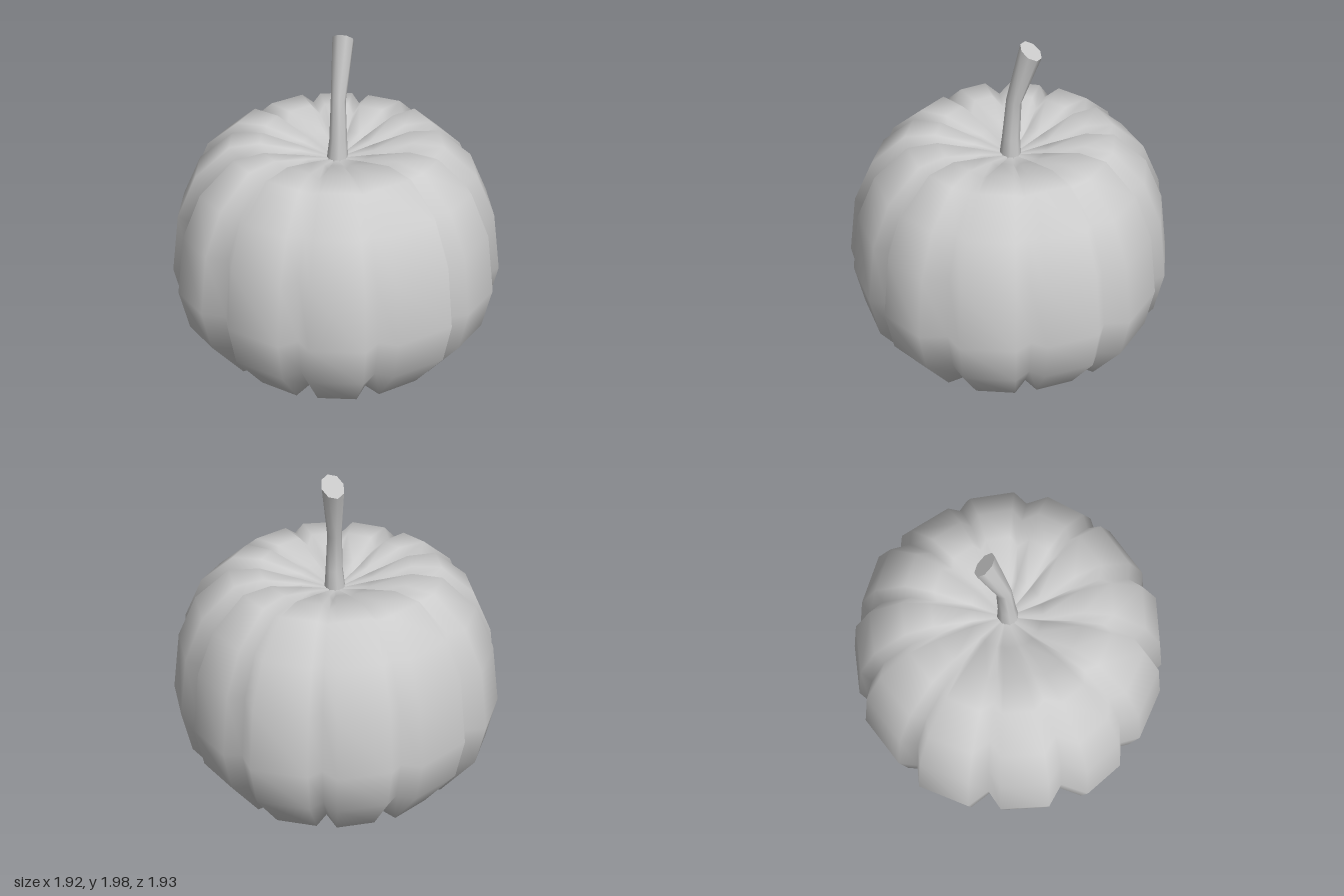
import * as THREE from 'three';
import { mergeVertices } from 'three/addons/utils/BufferGeometryUtils.js';

// Skin a stack of closed rings (listed bottom to top) with smooth normals.
function loft(rings) {
  const n = rings[0].length, pos = rings.flat(2), index = [];
  for (let j = 0; j < rings.length - 1; j++) {
    for (let i = 0; i < n; i++) {
      const k = (i + 1) % n;
      const a = j * n + i, b = j * n + k, c = b + n, d = a + n;
      index.push(a, d, c, a, c, b);
    }
  }
  let g = new THREE.BufferGeometry();
  g.setAttribute('position', new THREE.Float32BufferAttribute(pos, 3));
  g.setIndex(index);
  g = mergeVertices(g);
  g.computeVertexNormals();
  return g;
}

// Ribbed outline at the widest height: twelve lobes, each [edge, edge, valley] as x, z
const OUTLINE = [
  [-0.33, -0.91], [-0.02, -0.97], [0.06, -0.87],
  [0.16, -0.92], [0.48, -0.81], [0.52, -0.70],
  [0.61, -0.69], [0.81, -0.46], [0.78, -0.35],
  [0.87, -0.31], [0.96, 0.00], [0.87, 0.11],
  [0.92, 0.20], [0.80, 0.48], [0.71, 0.52],
  [0.71, 0.63], [0.48, 0.84], [0.36, 0.82],
  [0.26, 0.94], [-0.02, 0.96], [-0.10, 0.89],
  [-0.17, 0.95], [-0.49, 0.82], [-0.54, 0.72],
  [-0.65, 0.72], [-0.83, 0.47], [-0.80, 0.37],
  [-0.91, 0.32], [-0.96, 0.00], [-0.88, -0.09],
  [-0.95, -0.21], [-0.88, -0.46], [-0.72, -0.50],
  [-0.73, -0.65], [-0.50, -0.82], [-0.38, -0.77],
];

// Profile rows: outline scale, height, height shift of the valleys
const PROFILE = [
  [0, 0.35, 0], [0.25, 0.18, 0.03], [0.53, 0.01, 0.06], [0.73, 0.05, 0.05],
  [0.945, 0.33, 0.01], [1, 0.59, 0], [0.95, 0.95, 0], [0.835, 1.2, -0.01],
  [0.63, 1.375, -0.04], [0.45, 1.385, -0.05], [0.22, 1.32, -0.04], [0, 1.25, 0],
];

// Stem rings: centre x, y, z, radius along x, radius along z, slope along x, slope along z
const STEM = [
  [-0.01, 1.2, 0.01, 0.07, 0.065, 0, 0],
  [0, 1.38, 0.01, 0.052, 0.05, 0, 0],
  [0.013, 1.615, 0, 0.043, 0.042, -0.35, 0.1],
  [0.105, 1.945, -0.04, 0.046, 0.07, -0.95, 0.35],
];

export function createModel() {
  const model = new THREE.Group();
  model.name = 'pumpkin';
  const material = new THREE.MeshStandardMaterial({ color: 0xcccccc });
  const add = (name, geometry) => {
    const mesh = new THREE.Mesh(geometry, material);
    mesh.name = name;
    model.add(mesh);
  };

  // Ribbed body with a dimple at the top and a deep hollow underneath
  add('body', loft(PROFILE.map(([s, y, shift]) =>
    OUTLINE.map(([x, z], i) => [x * s, y + (i % 3 === 2 ? shift : 0), z * s]))));

  // Bent stem, flaring to a slanted cut end
  const sides = 8;
  const rings = STEM.map(([cx, cy, cz, rx, rz, sx, sz]) =>
    Array.from({ length: sides }, (_, i) => {
      const a = (i / sides) * Math.PI * 2;
      const x = rx * Math.cos(a), z = rz * Math.sin(a);
      return [cx + x, cy + sx * x + sz * z, cz + z];
    }));
  add('stem', loft(rings));

  // Flat cut face closing the stem
  const [tx, ty, tz] = STEM[STEM.length - 1];
  add('stemCut', loft([rings[rings.length - 1], Array.from({ length: sides }, () => [tx, ty, tz])]));

  return model;
}
